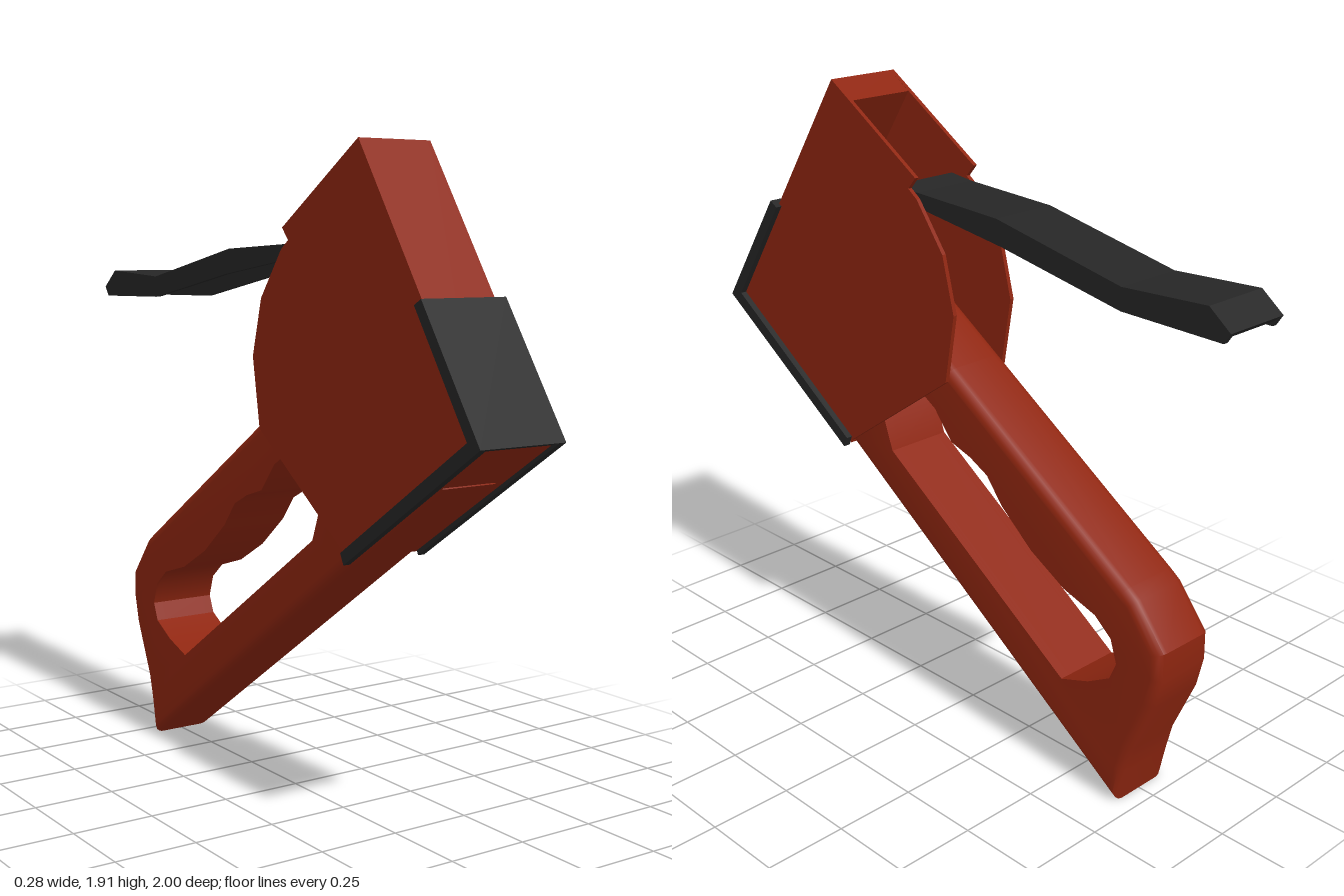
import * as THREE from 'three';
import { toCreasedNormals } from 'three/addons/utils/BufferGeometryUtils.js';

const red = new THREE.MeshStandardMaterial({ color: 0x8f2610 });
red.name = 'red paint';
const black = new THREE.MeshStandardMaterial({ color: 0x262626 });
black.name = 'black metal';

const toPoints = (list) => list.map(([z, y]) => new THREE.Vector2(z, y));

// Extrudes a side profile of [z, y] points across x, from x0 to x1
function slab(name, profile, x0, x1, material) {
  const geo = new THREE.ExtrudeGeometry(new THREE.Shape(toPoints(profile)), { depth: x1 - x0, bevelEnabled: false });
  geo.translate(0, 0, -x1).rotateY(-Math.PI / 2);
  const mesh = new THREE.Mesh(geo, material);
  mesh.name = name;
  return mesh;
}

// Same slab on both sides of the model
function pair(name, profile, x0, x1, material) {
  const group = new THREE.Group();
  group.name = name;
  group.add(slab(name + 'Left', profile, x0, x1, material));
  group.add(slab(name + 'Right', profile, -x1, -x0, material));
  return group;
}

// Grip loop: rounded outer edges, crisp finger opening
function makeHandle() {
  const outer = toPoints([
    [0.6, 1.54], [-0.01, 1.145], [-0.7, 0.695], [-0.735, 0.67], [-0.835, 0.545], [-0.836, 0.46],
    [-0.815, 0.37], [-0.74, 0.2], [-0.72, 0.12], [-0.695, 0.01], [0.43, 0.78], [0.8, 1.03],
  ]);
  const opening = toPoints([
    [0.13, 1.08], [0.1, 1.04], [0.05, 1.01], [-0.02, 0.925], [-0.1, 0.9], [-0.17, 0.865], [-0.23, 0.79],
    [-0.35, 0.69], [-0.48, 0.617], [-0.6, 0.58], [-0.66, 0.53], [-0.683, 0.46], [-0.66, 0.405],
    [-0.58, 0.36], [-0.48, 0.325], [0.245, 0.815], [0.28, 0.91], [0.31, 0.95],
  ]);
  const shape = new THREE.Shape(outer);
  shape.holes.push(new THREE.Path(opening));
  const half = 0.108, bevel = 0.032;
  const geo = new THREE.ExtrudeGeometry(shape, {
    depth: 2 * (half - bevel), bevelThickness: bevel, bevelSize: bevel, bevelOffset: -bevel, bevelSegments: 4,
  });
  geo.translate(0, 0, bevel - half);
  // Pull the bevel of the opening back to its outline
  const pos = geo.attributes.position;
  for (let i = 0; i < pos.count; i++) {
    const v = new THREE.Vector2(pos.getX(i), pos.getY(i));
    let best = opening[0];
    for (const p of opening) if (p.distanceTo(v) < best.distanceTo(v)) best = p;
    if (best.distanceTo(v) < 0.055) pos.setXY(i, best.x, best.y);
  }
  geo.rotateY(-Math.PI / 2);
  const mesh = new THREE.Mesh(toCreasedNormals(geo, 0.6), red);
  mesh.name = 'handle';
  return mesh;
}

// Lever: a channel of folded sheet, open underneath
function makeLever() {
  const top = [[0.27, 1.63], [0.2, 1.655], [0.12, 1.645], [-0.2, 1.63], [-0.65, 1.54], [-0.93, 1.555], [-1.0, 1.5]];
  const under = [[-0.98, 1.47], [-0.65, 1.475], [-0.22, 1.555], [0.1, 1.6], [0.25, 1.6]];
  const sheet = [...top, [-0.985, 1.485], ...top.slice(0, -1).reverse().map(([z, y]) => [z, y - 0.018])];
  const group = new THREE.Group();
  group.name = 'lever';
  group.add(slab('leverTop', sheet, -0.105, 0.105, black));
  group.add(pair('leverFlange', [...top, ...under], 0.09, 0.105, black));
  return group;
}

export function createModel() {
  const model = new THREE.Group();

  // Body shell: two side walls joined by the front and bottom walls
  const side = [
    [0.47, 1.92], [0.11, 1.69], [0.14, 1.655], [0.105, 1.63], [0.0, 1.49], [-0.045, 1.32],
    [-0.01, 1.11], [0.43, 0.797], [0.975, 1.158],
  ];
  model.add(pair('bodySide', side, 0.107, 0.12, red));
  model.add(slab('bodyFront', [[0.47, 1.92], [0.39, 1.868], [0.85, 1.17], [0.86, 1.08], [0.975, 1.158]], -0.1195, 0.1195, red));
  model.add(slab('bodyBottom', [[0.43, 0.79], [0.98, 1.153], [0.92, 1.23], [0.4, 0.88]], -0.1195, 0.1195, red));

  // Black nose plate and the rims along the lower edges
  model.add(slab('nosePlate', [[1.0, 1.155], [0.765, 1.51], [0.737, 1.493], [0.965, 1.145]], -0.14, 0.14, black));
  model.add(pair('bottomRim', [[1.0, 1.155], [0.975, 1.185], [0.425, 0.812], [0.44, 0.78]], 0.118, 0.14, black));

  model.add(makeHandle());
  model.add(makeLever());
  return model;
}
